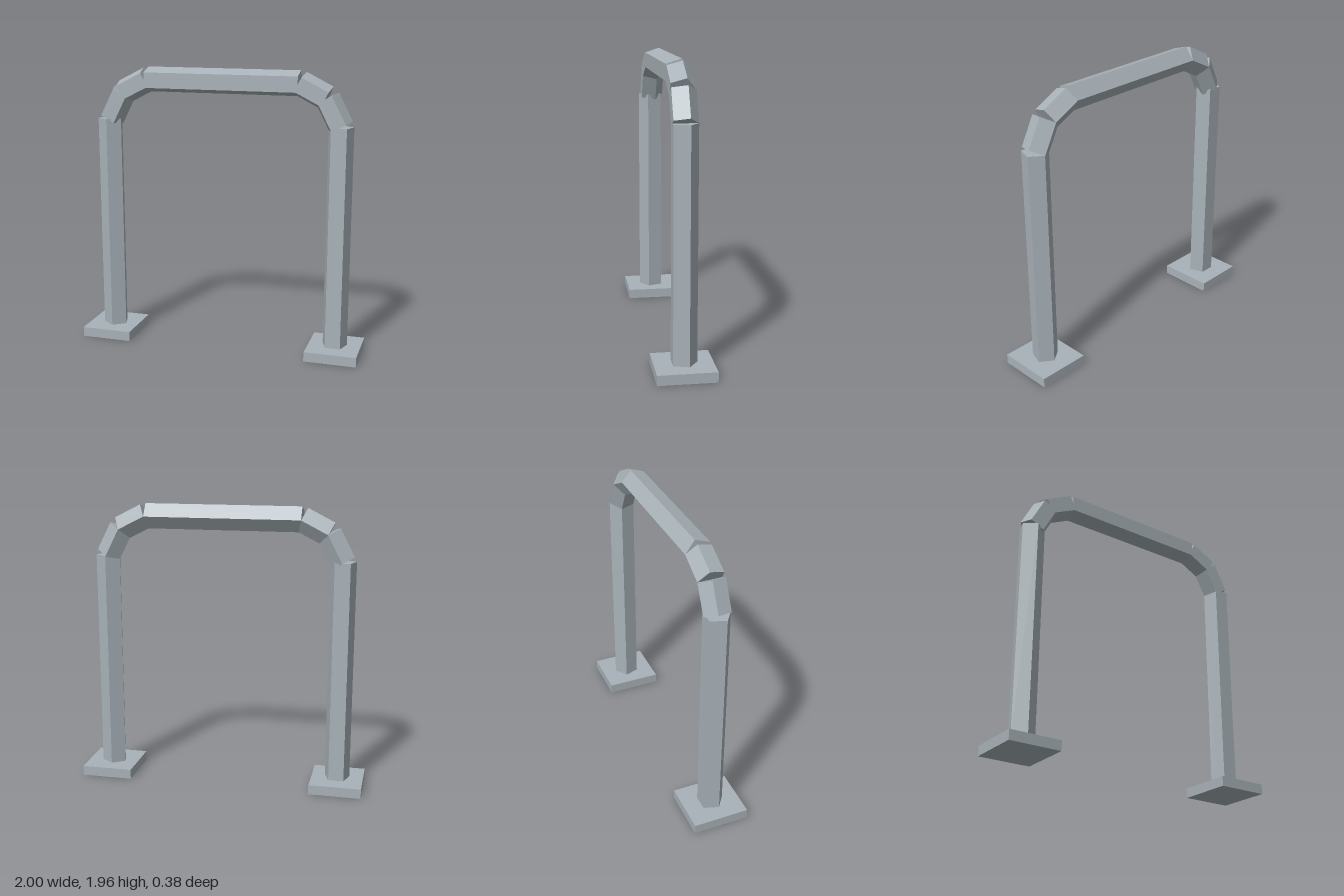
import * as THREE from 'three';

const RADIUS = 0.09;

export function createModel() {
  const model = new THREE.Group();
  model.name = 'hoopBarrier';
  const steel = new THREE.MeshStandardMaterial({ color: 0xa8b2b8 });
  steel.name = 'galvanisedSteel';

  const add = (name, geometry) => {
    const mesh = new THREE.Mesh(geometry, steel);
    mesh.name = name;
    model.add(mesh);
    return mesh;
  };

  // Closed five-sided bar between two points in the xy plane.
  // ridge = 0 puts one corner to the front, Math.PI puts it to the back.
  const bar = (name, x0, y0, x1, y1, ridge = Math.PI) => {
    const length = Math.hypot(x1 - x0, y1 - y0);
    const geometry = new THREE.CylinderGeometry(RADIUS, RADIUS, length, 5, 1, false, ridge).toNonIndexed();
    geometry.computeVertexNormals();
    const mesh = add(name, geometry);
    mesh.position.set((x0 + x1) / 2, (y0 + y1) / 2, 0);
    mesh.rotation.z = Math.atan2(y1 - y0, x1 - x0) - Math.PI / 2;
  };

  // Top rail
  bar('topRail', -0.538, 1.87, 0.538, 1.87);

  for (const [side, s] of [['left', 1], ['right', -1]]) {
    // Foot plate
    add(side + 'FootPlate', new THREE.BoxGeometry(0.36, 0.068, 0.385)).position.set(s * 0.82, 0.034, 0);
    // Upright; the two are turned half a revolution from each other
    bar(side + 'Upright', s * 0.817, 0.068, s * 0.817, 1.592, s > 0 ? Math.PI : 0);
    // Bend made of two short bars
    bar(side + 'UpperBend', s * 0.538, 1.87, s * 0.719, 1.778);
    bar(side + 'LowerBend', s * 0.719, 1.778, s * 0.815, 1.591);
  }
  return model;
}
